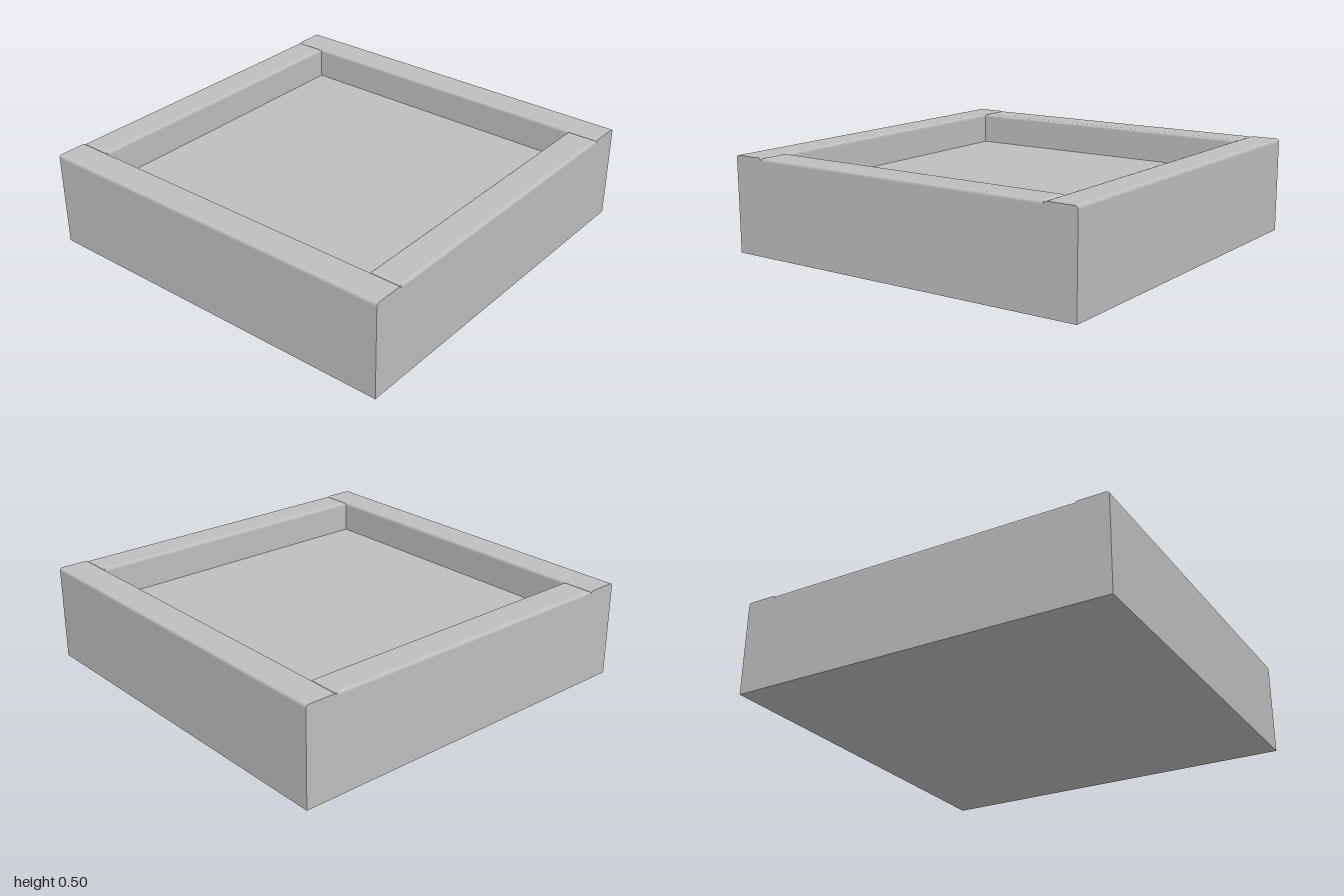
import * as THREE from 'three';

const HEIGHT = 0.5, FLOOR = 0.333, WALL = 0.167, BEVEL = 0.014, STEPS = 3;

// Rail standing on y = 0 whose top edges are rounded over, on its long sides and optionally its ends
function railGeometry(w, h, d, bevelX, bevelZ) {
  const box = new THREE.BoxGeometry(w, h, d, 1, STEPS + 1, 1);
  const p = box.attributes.position;
  for (let i = 0; i < p.count; i++) {
    const row = Math.round((p.getY(i) / h + 0.5) * (STEPS + 1));
    if (row === 0) {
      p.setY(i, 0);
      continue;
    }
    const a = ((row - 1) / STEPS) * Math.PI / 2;
    const inset = 1 - Math.cos(a);
    p.setY(i, h - BEVEL * (1 - Math.sin(a)));
    p.setX(i, p.getX(i) - Math.sign(p.getX(i)) * bevelX * inset);
    p.setZ(i, p.getZ(i) - Math.sign(p.getZ(i)) * bevelZ * inset);
  }
  const flat = box.toNonIndexed();
  flat.computeVertexNormals();
  return flat;
}

export function createModel() {
  const group = new THREE.Group();
  group.name = 'shallowTray';
  const grey = new THREE.MeshStandardMaterial({ color: 0xbfbfbf });
  grey.name = 'plain grey';

  const add = (name, geometry, x, y, z) => {
    const mesh = new THREE.Mesh(geometry, grey);
    mesh.name = name;
    mesh.position.set(x, y, z);
    group.add(mesh);
  };

  // Solid base whose top is the recessed floor
  add('base', new THREE.BoxGeometry(2, FLOOR, 2), 0, FLOOR / 2, 0);

  // Side rails run the full depth; end rails fit between them
  const rise = HEIGHT - FLOOR;
  const side = railGeometry(WALL, rise, 2, BEVEL, 0);
  const end = railGeometry(2 - 2 * WALL, rise, WALL, BEVEL, BEVEL);
  const offset = 1 - WALL / 2;
  for (const s of [1, -1]) {
    add(s > 0 ? 'leftRail' : 'rightRail', side, s * offset, FLOOR, 0);
    add(s > 0 ? 'frontRail' : 'backRail', end, 0, FLOOR, s * offset);
  }
  return group;
}
